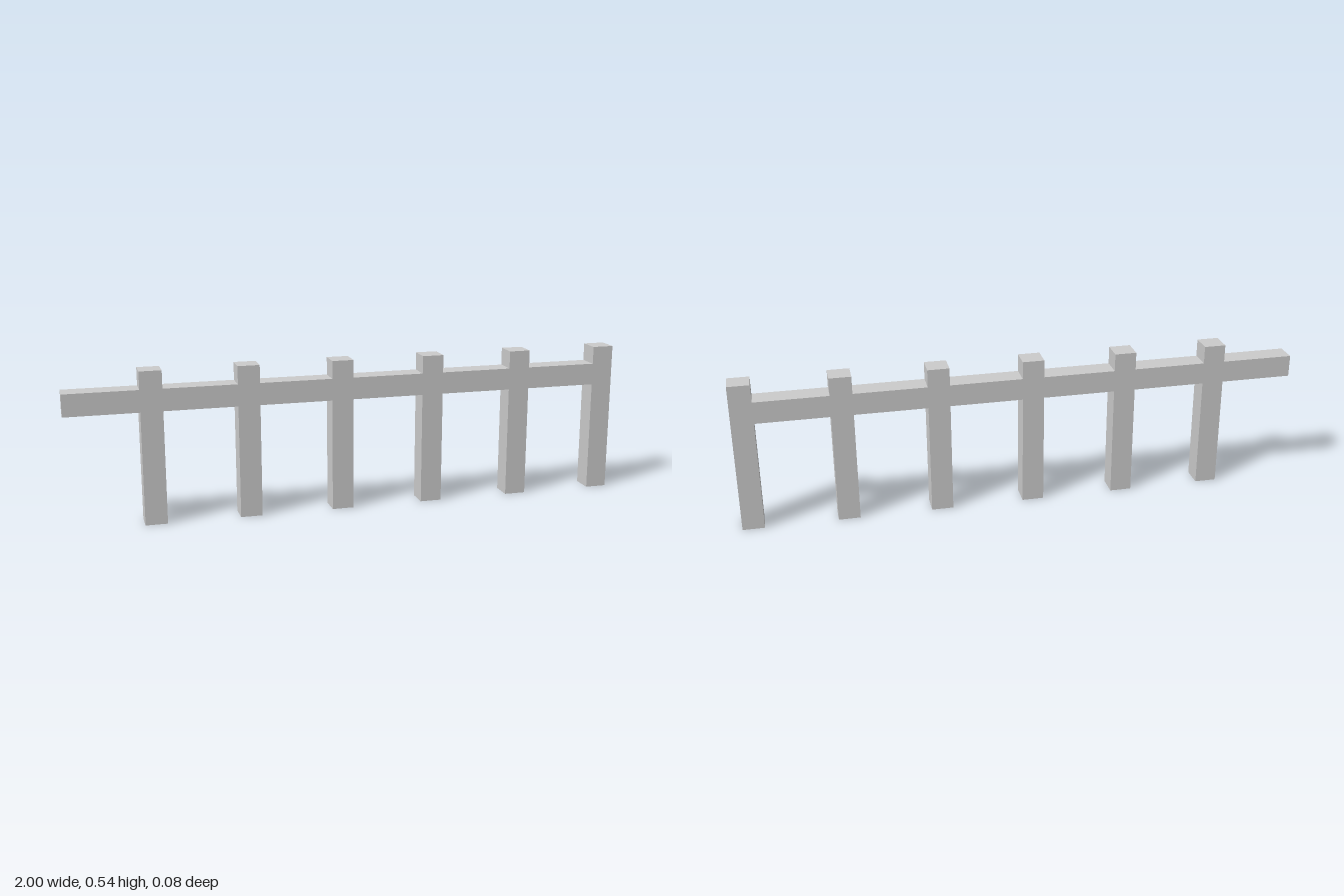
import * as THREE from 'three';

const BAYS = 6;
const PITCH = 2 / BAYS;       // one rail section plus one post
const THICK = 0.077;          // post width, also depth of posts and rail
const POST_HEIGHT = 0.541;
const RAIL_BOTTOM = 0.4;
const RAIL_TOP = 0.478;

export function createModel() {
  const fence = new THREE.Group();
  fence.name = 'fence';
  const material = new THREE.MeshStandardMaterial({ color: 0xcccccc, flatShading: true });

  const postGeometry = new THREE.BoxGeometry(THICK, POST_HEIGHT, THICK);
  const railLength = PITCH - THICK;
  const railGeometry = new THREE.BoxGeometry(railLength, RAIL_TOP - RAIL_BOTTOM, THICK);

  const add = (name, geometry, x, y) => {
    const mesh = new THREE.Mesh(geometry, material);
    mesh.name = name;
    mesh.position.set(x, y, 0);
    fence.add(mesh);
  };

  // Each bay is a rail section with a post at its +x end, faces flush
  for (let i = 0; i < BAYS; i++) {
    const start = -1 + i * PITCH;
    add(`railSection${i + 1}`, railGeometry, start + railLength / 2, (RAIL_BOTTOM + RAIL_TOP) / 2);
    add(`post${i + 1}`, postGeometry, start + PITCH - THICK / 2, POST_HEIGHT / 2);
  }
  return fence;
}
